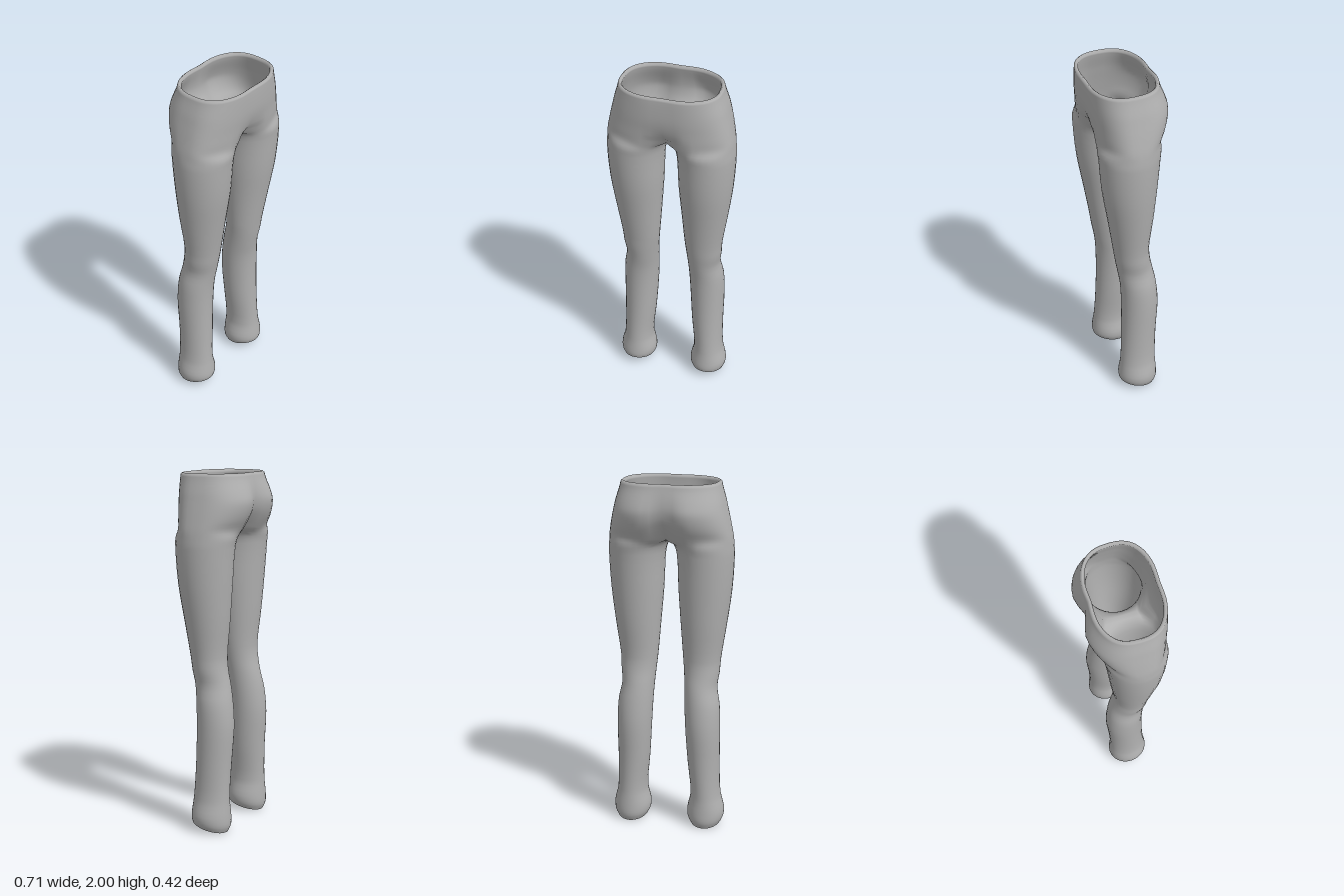
import * as THREE from 'three';
import { mergeGeometries, mergeVertices } from 'three/addons/utils/BufferGeometryUtils.js';

const OUTER = 24, LOOP = 32, SUB = 3, THICK = 0.021;

// Leg sections: y, inner x, outer x, front z, back z, tilt of the section
const LEG = [
  [0.025, 0.130, 0.312, 0.088, -0.122, 0.24],
  [0.055, 0.116, 0.325, 0.092, -0.136, 0.16],
  [0.100, 0.114, 0.327, 0.090, -0.136, 0.05],
  [0.190, 0.133, 0.306, 0.080, -0.130, 0],
  [0.400, 0.115, 0.300, 0.070, -0.135, 0],
  [0.600, 0.102, 0.301, 0.067, -0.146, 0],
  [0.740, 0.095, 0.295, 0.072, -0.135, 0],
  [0.840, 0.090, 0.277, 0.086, -0.116, 0],
  [0.920, 0.084, 0.286, 0.100, -0.099, 0],
  [1.000, 0.076, 0.291, 0.111, -0.092, 0],
  [1.200, 0.060, 0.320, 0.142, -0.110, 0],
  [1.400, 0.045, 0.345, 0.174, -0.125, 0],
  [1.600, 0.035, 0.355, 0.190, -0.140, 0],
  [1.655, 0.017, 0.352, 0.193, -0.148, 0]
];
// Hip sections: y, half width, front z, back z, centre front z, centre back z
const HIP = [
  [1.700, 0.346, 0.196, -0.168, 0.125, -0.100],
  [1.750, 0.336, 0.200, -0.196, 0.170, -0.140],
  [1.800, 0.325, 0.204, -0.215, 0.192, -0.168],
  [1.850, 0.313, 0.209, -0.222, 0.203, -0.180],
  [1.900, 0.301, 0.212, -0.208, 0.207, -0.181],
  [1.960, 0.283, 0.214, -0.183, 0.208, -0.172],
  [1.992, 0.275, 0.214, -0.174, 0.207, -0.165]
];

// Columns 0..OUTER run front, outside, back; the rest close the inner thigh
function legPoint([y, xi, xo, zf, zb, tilt], j) {
  const a = -Math.PI / 4 + (j / LOOP) * Math.PI * 2;
  const z = (zf + zb) / 2 + (zf - zb) / 2 * Math.cos(a);
  const x = (xi + xo) / 2 + (xo - xi) / 2 * Math.sin(a);
  return new THREE.Vector3(x, y + tilt * (z + 0.018), z);
}

function hipPoint([y, w, zf, zb, cf, cb], j, lower) {
  if (j > OUTER) { // crotch saddle on the centre line
    const s = (j - OUTER) / (LOOP - OUTER);
    return new THREE.Vector3(0, 1.675 + 0.015 * (2 * s - 1) ** 2, cb + (cf - cb) * s);
  }
  const t = (j / OUTER) * Math.PI, c = Math.cos(t), mid = 0.025;
  const end = j === 0 || j === OUTER;
  const x = end ? 0 : w * Math.sin(t) ** 0.78;
  const dent = Math.exp(-((x / 0.07) ** 2));
  const z = c >= 0
    ? mid + (zf - mid) * c ** 0.78 - (zf - cf) * dent
    : mid + (zb - mid) * (-c) ** 0.78 + (cb - zb) * dent;
  return new THREE.Vector3(x, y - (lower ? 0.01 * dent : 0), z);
}

function makeHalf() {
  const crotch = LEG.length * SUB;
  const rows = (LEG.length + HIP.length - 1) * SUB;
  const pos = [], idx = [], id = [];
  // Smooth every column from hem to crotch or waist
  for (let j = 0; j < LOOP; j++) {
    const inner = j > OUTER;
    const pts = LEG.map(r => legPoint(r, j));
    (inner ? HIP.slice(0, 1) : HIP).forEach((r, k) => pts.push(hipPoint(r, j, k === 0)));
    const curve = new THREE.CatmullRomCurve3(pts), last = inner ? crotch : rows;
    id[j] = [];
    for (let i = 0; i <= last; i++) {
      const p = curve.getPoint(i / last);
      const seam = i >= crotch && (inner || j === 0 || j === OUTER);
      id[j][i] = pos.length / 3;
      pos.push(seam ? 0 : Math.max(p.x, 0.002), p.y, p.z);
      if (!seam && i >= crotch) pos[pos.length - 3] = Math.max(p.x, 0);
    }
  }
  for (let i = 0; i < rows; i++) {
    for (let j = 0; j < (i < crotch ? LOOP : OUTER); j++) {
      const k = (j + 1) % LOOP;
      const a = id[j][i], b = id[k][i], c = id[k][i + 1], d = id[j][i + 1];
      idx.push(a, b, c, a, c, d);
    }
  }
  // Lining: the outer cloth moved inwards and turned over
  const skin = new THREE.BufferGeometry();
  skin.setAttribute('position', new THREE.Float32BufferAttribute(pos, 3));
  skin.setIndex(idx);
  skin.computeVertexNormals();
  const n = new THREE.Vector3(), count = pos.length / 3;
  for (let v = 0; v < count; v++) {
    n.fromBufferAttribute(skin.attributes.normal, v);
    if (pos[v * 3] === 0) n.setX(0).normalize();
    pos.push(...[n.x, n.y, n.z].map((q, k) => pos[v * 3 + k] - q * THICK));
  }
  for (let t = 0, len = idx.length; t < len; t += 3) {
    idx.push(idx[t] + count, idx[t + 2] + count, idx[t + 1] + count);
  }
  // Rounded waist rim
  const rim = [];
  for (let j = 0; j <= OUTER; j++) {
    const a = id[j][rows] * 3, b = a + count * 3;
    rim.push(pos.length / 3);
    pos.push((pos[a] + pos[b]) / 2, 2, (pos[a + 2] + pos[b + 2]) / 2);
  }
  for (let j = 0; j < OUTER; j++) {
    const a = id[j][rows], b = id[j + 1][rows], c = rim[j + 1], d = rim[j];
    idx.push(a, b, c, a, c, d, d, c, b + count, d, b + count, a + count);
  }
  const geo = new THREE.BufferGeometry();
  geo.setAttribute('position', new THREE.Float32BufferAttribute(pos, 3));
  geo.setIndex(idx);
  return geo;
}

// Slightly hollow sheet closing the bottom of a leg
function makeHemCap() {
  const pos = [], idx = [];
  [1, 0.85, 0].forEach((s, k) => {
    for (let j = 0; j < LOOP; j++) {
      const p = legPoint(LEG[0], j);
      pos.push(0.221 + (p.x - 0.221) * s, 0.025 + (p.y - 0.025) * s + [0, 0.01, 0.014][k],
        -0.017 + (p.z + 0.017) * s);
    }
  });
  for (let k = 0; k < 2; k++) {
    for (let j = 0; j < LOOP; j++) {
      const a = k * LOOP + j, b = k * LOOP + (j + 1) % LOOP;
      idx.push(a, b + LOOP, b);
      idx.push(a, a + LOOP, b + LOOP);
    }
  }
  const geo = new THREE.BufferGeometry();
  geo.setAttribute('position', new THREE.Float32BufferAttribute(pos, 3));
  geo.setIndex(idx);
  return geo;
}

function mirrored(geo) {
  const g = geo.clone().scale(-1, 1, 1), a = g.index.array;
  for (let t = 0; t < a.length; t += 3) [a[t + 1], a[t + 2]] = [a[t + 2], a[t + 1]];
  return g;
}

export function createModel() {
  const group = new THREE.Group();
  group.name = 'trousers';
  const cloth = new THREE.MeshStandardMaterial({ color: 0xb0b0b0, side: THREE.DoubleSide });
  cloth.name = 'grey cloth';

  const add = (geo, name) => {
    const g = mergeVertices(geo, 1e-5);
    g.computeVertexNormals();
    const mesh = new THREE.Mesh(g, cloth);
    mesh.name = name;
    group.add(mesh);
  };

  const half = makeHalf();
  add(mergeGeometries([half, mirrored(half)]), 'trouserShell');
  const cap = makeHemCap();
  add(cap, 'leftHemCap');
  add(mirrored(cap), 'rightHemCap');
  return group;
}
